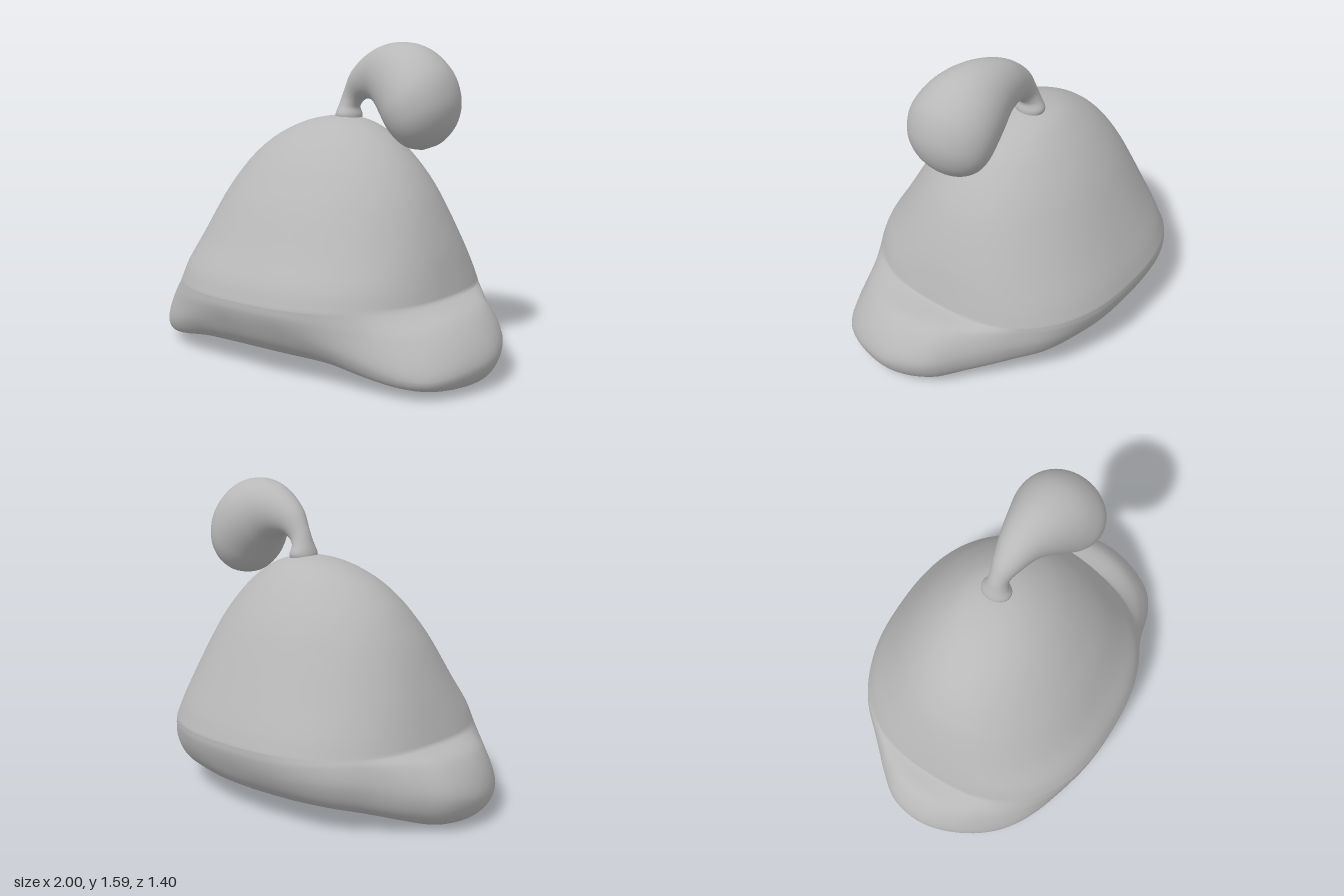
import * as THREE from 'three';

const V = (x, y, z) => new THREE.Vector3(x, y, z);

// Skin a list of closed rings (rows of points) with smooth shared normals
function skin(rows) {
  const n = rows[0].length, pos = [], idx = [];
  rows.forEach(r => r.forEach(p => pos.push(p.x, p.y, p.z)));
  for (let i = 0; i < rows.length - 1; i++) {
    for (let j = 0; j < n; j++) {
      const a = i * n + j, b = i * n + (j + 1) % n;
      idx.push(a, b, a + n, b, b + n, a + n);
    }
  }
  const g = new THREE.BufferGeometry();
  g.setAttribute('position', new THREE.Float32BufferAttribute(pos, 3));
  g.setIndex(idx);
  g.computeVertexNormals();
  return g;
}

// Dome sections: height, half width, half depth, centre x, centre z, squareness
const DOME = [
  [1.222, 0.002, 0.002, 0.0, -0.07, 2],
  [1.213, 0.09, 0.08, 0.0, -0.065, 2],
  [1.18, 0.21, 0.17, -0.01, -0.06, 2],
  [1.1, 0.355, 0.275, -0.02, -0.045, 2],
  [1.0, 0.465, 0.365, -0.025, -0.035, 2],
  [0.9, 0.54, 0.435, -0.025, -0.028, 2.05],
  [0.8, 0.597, 0.495, -0.025, -0.02, 2.1],
  [0.6, 0.68, 0.598, -0.025, -0.01, 2.25],
  [0.46, 0.725, 0.67, -0.028, 0, 2.4],
  [0.375, 0.75, 0.7, -0.03, 0, 2.45],
];

// Plan outline of the brim (x, z)
const BRIM = [
  [1, 0.07], [0.965, 0.29], [0.88, 0.44], [0.77, 0.51], [0.6, 0.56], [0.4, 0.63], [0.2, 0.68], [0, 0.7],
  [-0.3, 0.68], [-0.5, 0.625], [-0.7, 0.52], [-0.86, 0.37], [-0.96, 0.2], [-1, 0.03], [-0.97, -0.14],
  [-0.89, -0.25], [-0.75, -0.4], [-0.6, -0.56], [-0.4, -0.66], [0, -0.7], [0.3, -0.66], [0.5, -0.57],
  [0.65, -0.42], [0.8, -0.26], [0.93, -0.13],
];

// Brim section by angle from the side (back -90, front 90):
// shoulder height, rim reach, rim height, tuck reach, tuck height, underside reach
const SECTION = [
  [-90, 0.33, 0.955, 0.25, 0.88, 0.165, 0.77],
  [-62, 0.33, 0.965, 0.25, 0.89, 0.165, 0.78],
  [-40, 0.34, 0.99, 0.25, 0.93, 0.145, 0.8],
  [-20, 0.34, 1, 0.21, 0.955, 0.1, 0.82],
  [0, 0.33, 1, 0.165, 0.955, 0.05, 0.84],
  [15, 0.31, 1, 0.13, 0.965, 0.045, 0.86],
  [30, 0.265, 1, 0.1, 0.97, 0.055, 0.88],
  [42, 0.275, 0.99, 0.145, 0.94, 0.085, 0.84],
  [55, 0.3, 0.97, 0.2, 0.9, 0.13, 0.8],
  [72, 0.325, 0.955, 0.245, 0.88, 0.16, 0.775],
  [90, 0.33, 0.955, 0.25, 0.88, 0.165, 0.77],
];

// Underside: arched across the middle, lowest below the wings
function underside(x, z) {
  const side = Math.min(1, Math.abs(x) / 0.82) ** 1.6;
  return 0.112 - side * (0.11 - (z > 0 ? 0.25 : 0.4) * z * z);
}

function hatGeometry() {
  const outline = new THREE.CatmullRomCurve3(BRIM.map(([x, z]) => V(x, 0, z)), true).getPoints(2000)
    .map(p => ({ a: Math.atan2(p.z, p.x), r: Math.hypot(p.x, p.z) }));
  const outerRadius = a => outline.reduce((best, p) => Math.abs(p.a - a) < Math.abs(best.a - a) ? p : best).r;
  const section = new THREE.CubicInterpolant(SECTION.map(s => s[0]), SECTION.flatMap(s => s.slice(1)), 6);
  const COLS = 144, columns = [];
  for (let j = 0; j < COLS; j++) {
    const t = j / COLS * Math.PI * 2, c = Math.cos(t), s = Math.sin(t);
    const dome = DOME.map(([y, rx, rz, cx, cz, n]) => {
      const k = (Math.abs(c) ** n + Math.abs(s) ** n) ** (-1 / n);
      return V(cx + rx * c * k, y, cz + rz * s * k);
    });
    // Brim: bulges into wings at the sides, tucks straight under at front and back
    const foot = dome[dome.length - 1];
    const inner = Math.hypot(foot.x, foot.z);
    const outer = Math.max(inner, outerRadius(Math.atan2(foot.z, foot.x)));
    const at = (r, y) => V(foot.x / inner * r, y, foot.z / inner * r);
    const under = r => at(r, underside(foot.x / inner * r, foot.z / inner * r));
    const angle = THREE.MathUtils.radToDeg(Math.atan2(foot.z, Math.abs(foot.x)));
    const [shoulderY, rim, rimY, tuck, tuckY, low] = section.evaluate(angle);
    const brim = [
      foot,
      at((inner * 0.4 + outer * 0.6) * 0.997, shoulderY),
      at(outer * rim, rimY),
      at(outer * tuck, tuckY),
      under(outer * low),
      under(outer * 0.45),
      at(0.002, 0.112),
    ];
    columns.push([
      ...new THREE.CatmullRomCurve3(dome).getPoints(54),
      ...new THREE.CatmullRomCurve3(brim).getPoints(48).slice(1),
    ]);
  }
  return skin(columns[0].map((_, i) => columns.map(col => col[i])));
}

// Tassel stations: outer edge x, y, inner edge x, y, centre z, half depth
const TASSEL = [
  [-0.03, 1.19, 0.095, 1.19, -0.085, 0.07],
  [-0.03, 1.23, 0.097, 1.225, -0.085, 0.08],
  [-0.012, 1.285, 0.09, 1.262, -0.085, 0.06],
  [0.015, 1.355, 0.115, 1.292, -0.083, 0.053],
  [0.08, 1.46, 0.155, 1.31, -0.075, 0.075],
  [0.21, 1.555, 0.215, 1.302, -0.065, 0.11],
  [0.37, 1.595, 0.27, 1.273, -0.045, 0.155],
  [0.53, 1.568, 0.325, 1.222, -0.028, 0.2],
  [0.655, 1.465, 0.37, 1.175, -0.013, 0.223],
  [0.703, 1.33, 0.408, 1.135, -0.01, 0.21],
  [0.685, 1.21, 0.445, 1.104, -0.01, 0.168],
  [0.62, 1.117, 0.48, 1.086, -0.01, 0.1],
  [0.54, 1.079, 0.525, 1.078, -0.01, 0.012],
  [0.533, 1.078, 0.532, 1.078, -0.01, 0.001],
];

function tasselGeometry() {
  const outer = new THREE.CatmullRomCurve3(TASSEL.map(s => V(s[0], s[1], s[4])), false, 'catmullrom');
  const inner = new THREE.CatmullRomCurve3(TASSEL.map(s => V(s[2], s[3], s[4])), false, 'catmullrom');
  const depth = new THREE.SplineCurve(TASSEL.map((s, i) => new THREE.Vector2(i, s[5])));
  const ROWS = 78, COLS = 48, rows = [];
  for (let i = 0; i <= ROWS; i++) {
    const t = i / ROWS, a = outer.getPoint(t), b = inner.getPoint(t);
    const rz = Math.max(0.001, depth.getPoint(t).y);
    rows.push(Array.from({ length: COLS }, (_, j) => {
      const angle = j / COLS * Math.PI * 2;
      const p = b.clone().lerp(a, 0.5 + 0.5 * Math.cos(angle));
      p.z += rz * Math.sin(angle);
      return p;
    }));
  }
  return skin(rows);
}

export function createModel() {
  const felt = new THREE.MeshStandardMaterial({ color: 0xb8b8b8 });
  felt.name = 'grey felt';
  const group = new THREE.Group();
  group.name = 'hat';
  const add = (name, geometry) => {
    const mesh = new THREE.Mesh(geometry, felt);
    mesh.name = name;
    group.add(mesh);
  };
  add('crownAndBrim', hatGeometry());
  add('tassel', tasselGeometry());
  return group;
}
